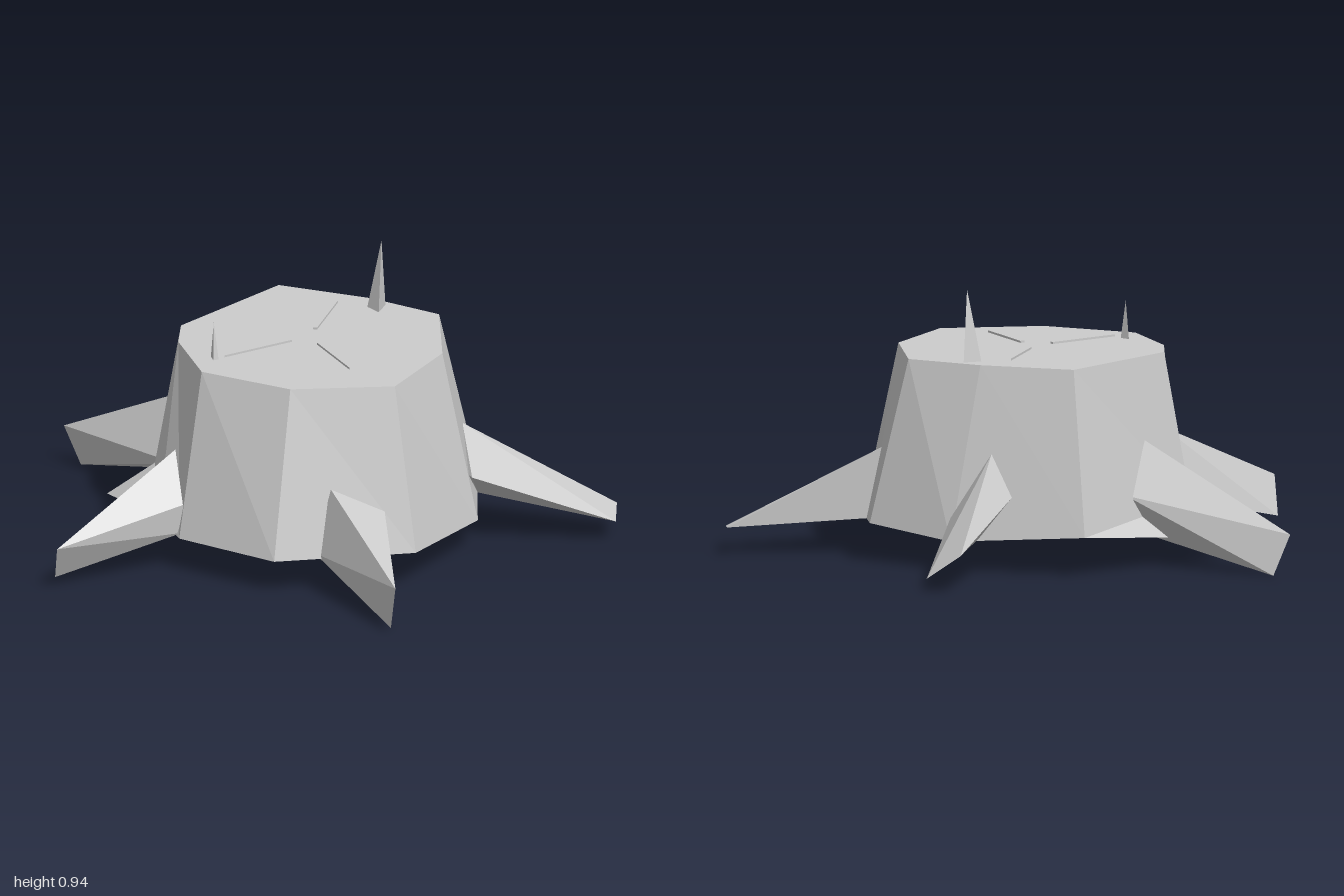
import * as THREE from 'three';
import { ConvexGeometry } from 'three/addons/geometries/ConvexGeometry.js';

export function createModel() {
  const group = new THREE.Group();
  const grey = new THREE.MeshStandardMaterial({ color: 0xcccccc });
  grey.name = 'pale grey';
  grey.flatShading = true;

  const add = (name, geometry) => {
    const mesh = new THREE.Mesh(geometry, grey);
    mesh.name = name;
    group.add(mesh);
  };
  // Faceted solid wrapped around a few corner points
  const hull = (name, pts) => add(name, new ConvexGeometry(pts.map(p => new THREE.Vector3(...p))));

  // Trunk: irregular nine-sided taper, with a flared lip low at the back
  const H = 0.69;
  const top = [[0.35, -0.32], [0.44, 0], [0.46, 0.28], [0.17, 0.52], [-0.18, 0.59],
    [-0.42, 0.33], [-0.47, -0.01], [-0.29, -0.25], [-0.16, -0.34]].map(([x, z]) => [x, H, z]);
  const low = [[0.43, 0.135, -0.42], [0.56, 0.1, 0.04], [0.53, 0.13, 0.39], [0.21, 0.105, 0.64], [-0.22, 0.13, 0.71],
    [-0.56, 0.12, 0.37], [-0.58, 0.12, -0.02], [-0.5, 0.14, -0.17], [-0.2, 0.19, -0.42]];
  const lip = [-0.27, 0.065, -0.57];
  const n = top.length, verts = [];
  const tri = (...corners) => corners.forEach(c => verts.push(...c));
  for (let i = 0; i < n; i++) {
    const j = (i + 1) % n;
    tri(top[i], top[j], low[i]);
    tri(top[j], low[j], low[i]);
    tri([0, H, 0.1], top[j], top[i]);
  }
  tri(low[7], low[8], lip);
  tri(low[8], low[0], lip);
  const base = [...low.slice(0, 8), lip];
  base.forEach((p, i) => tri([0, 0.085, 0.05], p, base[(i + 1) % base.length]));
  const trunk = new THREE.BufferGeometry();
  trunk.setAttribute('position', new THREE.Float32BufferAttribute(verts, 3));
  trunk.computeVertexNormals();
  add('trunk', trunk);

  // Roots: wedge corners at the trunk, then a two-point chisel tip
  hull('backRoot', [[0.01, 0.43, -0.34], [-0.1, 0.16, -0.4], [0.13, 0.24, -0.38], [0.04, 0.1, -0.4],
    [0, 0.14, -0.965], [0.035, 0, -0.92]]);
  hull('frontLeftRoot', [[0.37, 0.365, 0.45], [0.205, 0.255, 0.62], [0.39, 0.12, 0.5], [0.3, 0.25, 0.45],
    [0.55, 0.075, 0.965], [0.665, 0.09, 0.88]]);
  hull('frontRightRoot', [[-0.39, 0.355, 0.48], [-0.275, 0.275, 0.62], [-0.29, 0.13, 0.63], [-0.43, 0.13, 0.44],
    [-0.62, 0.17, 0.935], [-0.6, 0.015, 0.9]]);
  hull('rightRoot', [[-0.46, 0.38, -0.13], [-0.56, 0.235, -0.02], [-0.55, 0.13, -0.03], [-0.46, 0.14, -0.19],
    [-1, 0.16, -0.215], [-0.94, 0.03, -0.27]]);
  hull('leftRoot', [[0.49, 0.4, -0.08], [0.56, 0.18, 0.04], [0.5, 0.26, -0.17], [0.53, 0.12, -0.06],
    [1, 0.045, -0.165], [0.98, 0.13, -0.29]]);

  // Twigs standing on the cut face
  hull('tallTwig', [[0.345, 0.66, 0.11], [0.425, 0.66, 0.08], [0.365, 0.66, 0.04], [0.388, 0.935, 0.09]]);
  hull('shortTwig', [[-0.362, 0.67, -0.045], [-0.332, 0.67, -0.08], [-0.34, 0.67, -0.036], [-0.342, 0.82, -0.058]]);

  // Thin slivers on the cut face, pointed at one end
  const sliver = (name, [ax, az], [bx, bz], w) => {
    const l = Math.hypot(bx - ax, bz - az), px = -(bz - az) / l * w, pz = (bx - ax) / l * w;
    hull(name, [0.696, 0.703].flatMap(y => [[ax, y, az], [bx + px, y, bz + pz], [bx - px, y, bz - pz]]));
  };
  sliver('rightCut', [-0.325, -0.025], [-0.065, 0.055], 0.007);
  sliver('leftCut', [0.33, -0.05], [0.075, 0.05], 0.007);
  sliver('lowerCut', [-0.16, 0.38], [-0.03, 0.15], 0.008);

  return group;
}
